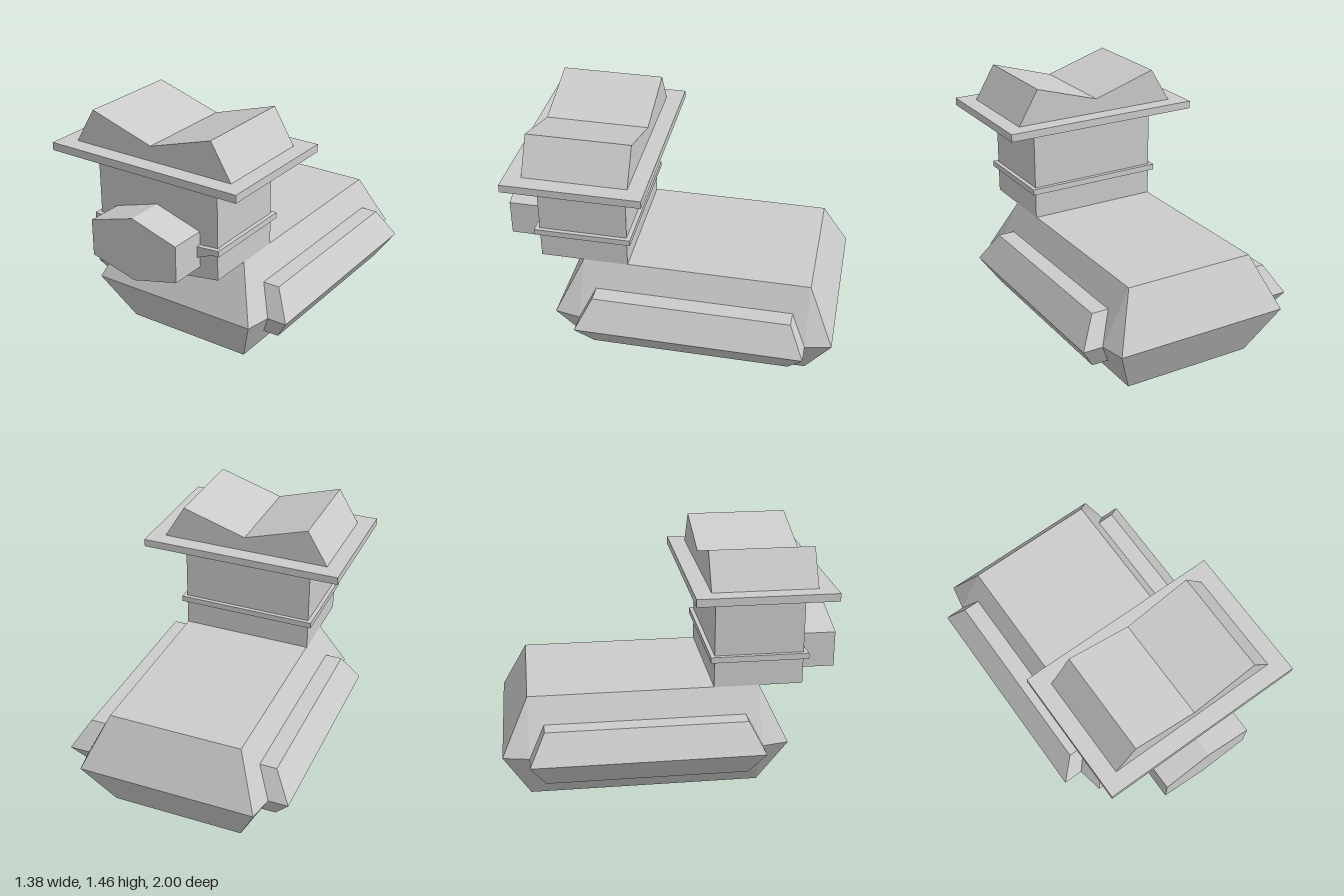
import * as THREE from 'three';
import { ConvexGeometry } from 'three/addons/geometries/ConvexGeometry.js';

const material = new THREE.MeshStandardMaterial({ color: 0xcccccc, flatShading: true });

// Rectangle of corners at height y
const ring = (x0, x1, y, z0, z1) =>
  [[x0, z0], [x1, z0], [x1, z1], [x0, z1]].map(([x, z]) => new THREE.Vector3(x, y, z));

// Mirror-symmetric prism: right-hand half outline, extruded from z0 to z1
function prism(half, z0, z1) {
  const mirrored = half.filter(([x]) => x > 0).reverse().map(([x, y]) => [-x, y]);
  const shape = new THREE.Shape([...half, ...mirrored].map(([x, y]) => new THREE.Vector2(x, y)));
  const geometry = new THREE.ExtrudeGeometry(shape, { depth: z1 - z0, bevelEnabled: false });
  return geometry.translate(0, 0, z0);
}

function box(x, y0, y1, z0, z1) {
  return new THREE.BoxGeometry(2 * x, y1 - y0, z1 - z0)
    .translate(0, (y0 + y1) / 2, (z0 + z1) / 2);
}

export function createModel() {
  const group = new THREE.Group();
  const add = (name, geometry) => {
    const mesh = new THREE.Mesh(geometry, material);
    mesh.name = name;
    group.add(mesh);
  };

  // Faceted body with narrow corner facets around its widest line
  add('body', new ConvexGeometry([
    ...ring(-0.405, 0.405, 0, -0.845, 0.52),
    ...ring(-0.57, 0.57, 0.305, -0.845, 0.52),
    ...ring(-0.54, 0.54, 0.305, -1, 0.675),
    ...ring(-0.405, 0.405, 0.625, -0.845, 0.52),
  ]));

  // Bevelled limbs along both flanks, sunk into the body
  for (const [name, s] of [['leftLimb', 1], ['rightLimb', -1]]) {
    add(name, new ConvexGeometry([
      ...ring(0.47 * s, 0.585 * s, 0.148, -0.755, 0.43),
      ...ring(0.47 * s, 0.69 * s, 0.305, -0.845, 0.52),
      ...ring(0.47 * s, 0.585 * s, 0.475, -0.755, 0.43),
    ]));
  }

  // Head with a shallow V underside
  add('head', prism([[0, 0.56], [0.408, 0.625], [0.408, 1.205], [0, 1.205]], 0.25, 0.78));

  // Thin band round the head, widening towards the muzzle
  add('headBand', box(0.433, 0.787, 0.823, 0.225, 0.78));
  add('frontStrap', prism([[0, 0.745], [0.29, 0.745], [0.39, 0.787], [0.433, 0.787],
    [0.433, 0.823], [0.38, 0.82], [0.29, 0.812], [0, 0.812]], 0.78, 0.808));

  // Hexagonal muzzle
  add('muzzle', prism([[0, 0.6], [0.29, 0.675], [0.29, 0.892], [0, 0.98]], 0.78, 1));

  // Hat: flat brim and a crown with a creased top
  add('hatBrim', box(0.623, 1.205, 1.252, 0.105, 0.92));
  add('hatCrown', prism([[0, 1.252], [0.525, 1.252], [0.398, 1.463], [0, 1.34]], 0.205, 0.82));

  return group;
}
